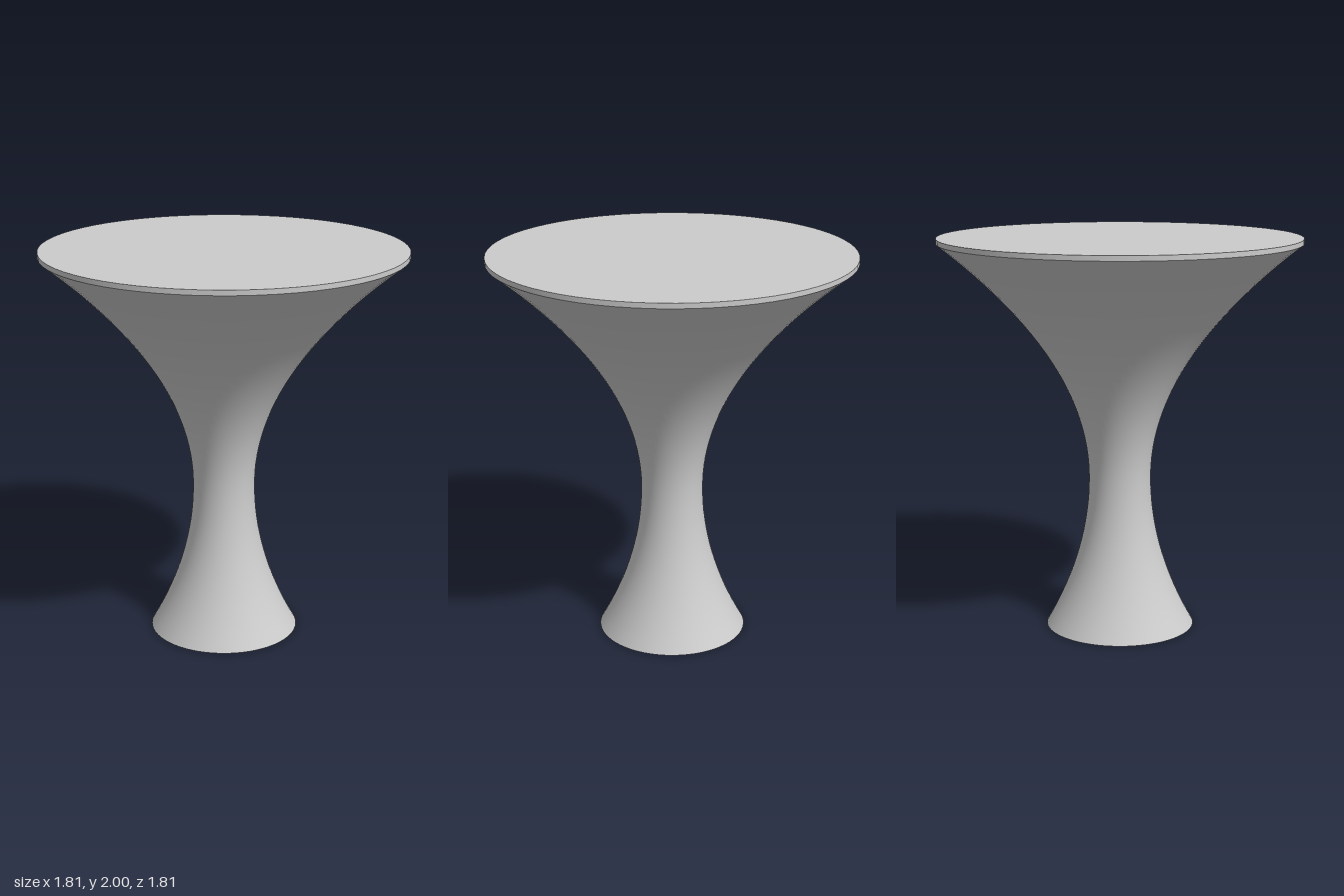
import * as THREE from 'three';

const SEGMENTS = 64;
const HEIGHT = 2, RIM_Y = 1.975;
const TOP_R = 0.907, BASE_R = 0.38;
const WAIST_R = 0.157, WAIST_Y = 0.78;

// Flared profile: one parabola below the waist, a wider one above it
function radiusAt(y) {
  const up = y > WAIST_Y;
  const t = (y - WAIST_Y) / (up ? RIM_Y - WAIST_Y : WAIST_Y);
  return WAIST_R + ((up ? TOP_R : BASE_R) - WAIST_R) * t * t;
}

export function createModel() {
  const group = new THREE.Group();
  group.name = 'pedestalTable';
  const material = new THREE.MeshStandardMaterial({ color: 0xcccccc });

  const add = (name, geometry, y = 0) => {
    const mesh = new THREE.Mesh(geometry, material);
    mesh.name = name;
    mesh.position.y = y;
    group.add(mesh);
  };

  // Smooth hourglass pedestal, rising to the underside of the top
  const profile = [];
  const steps = 40;
  for (let i = 0; i <= steps; i++) {
    const y = (RIM_Y * i) / steps;
    profile.push(new THREE.Vector2(radiusAt(y), y));
  }
  add('pedestal', new THREE.LatheGeometry(profile, SEGMENTS));

  // Flat underside of the foot
  add('footBase', new THREE.CircleGeometry(BASE_R, SEGMENTS).rotateX(Math.PI / 2));

  // Thin round tabletop with a straight rim
  const thickness = HEIGHT - RIM_Y;
  add('tabletop', new THREE.CylinderGeometry(TOP_R, TOP_R, thickness, SEGMENTS), RIM_Y + thickness / 2);

  return group;
}
